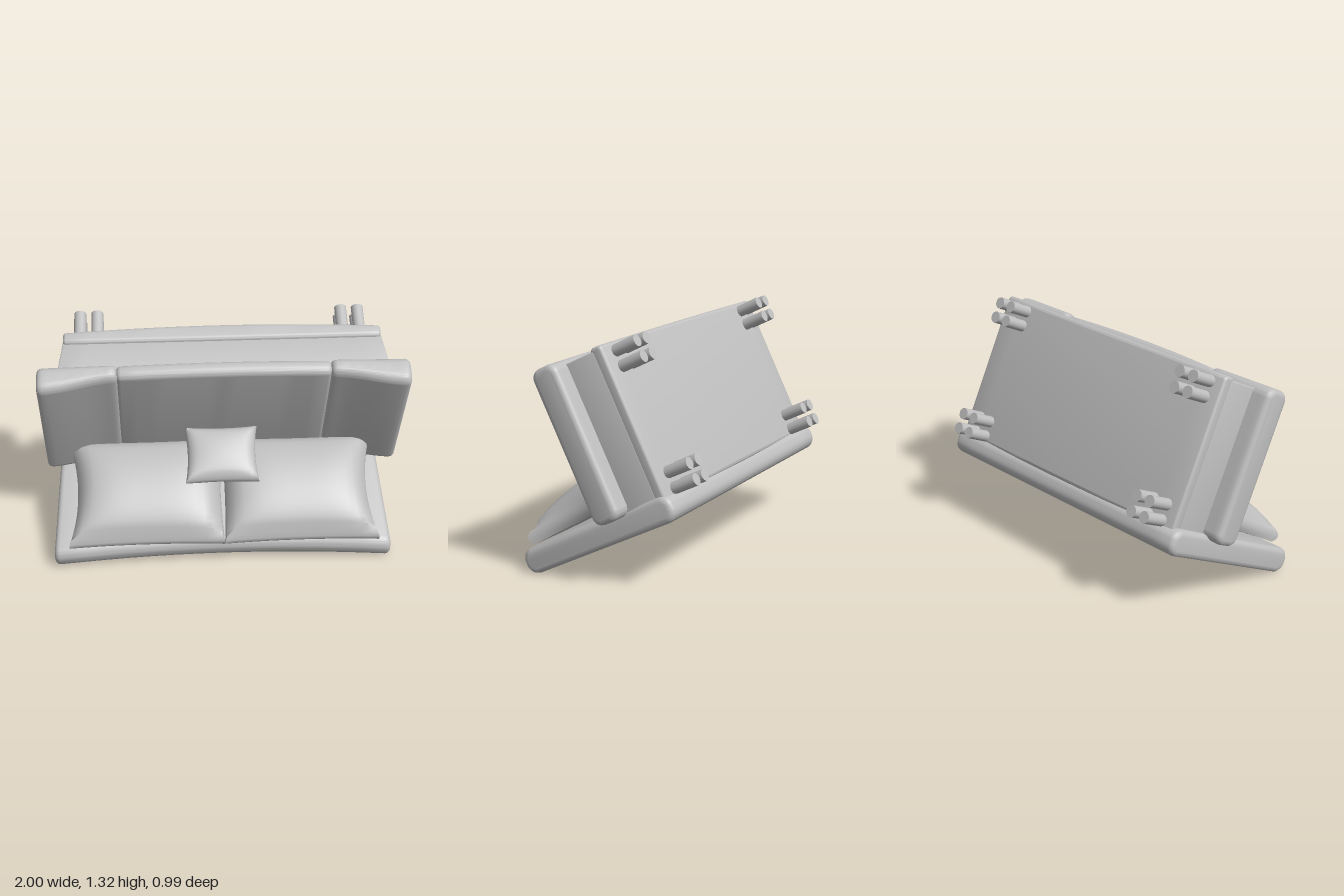
import * as THREE from 'three';
import { mergeVertices, toCreasedNormals } from 'three/addons/utils/BufferGeometryUtils.js';

const fabric = new THREE.MeshStandardMaterial({ color: 0xbfbfbf });
fabric.name = 'grey fabric';

// Local frame: x across, y from the backrest to the seat front, z from the feet to the backrest top.

// Moves every vertex by a rule, then smooths all but the sharp edges.
function shaped(geometry, rule, crease = 0.7) {
  const pos = geometry.attributes.position;
  const v = new THREE.Vector3();
  for (let i = 0; i < pos.count; i++) {
    v.fromBufferAttribute(pos, i);
    rule(v);
    pos.setXYZ(i, v.x, v.y, v.z);
  }
  geometry.deleteAttribute('uv');
  geometry.deleteAttribute('normal');
  return toCreasedNormals(mergeVertices(geometry, 1e-5), crease);
}

function part(name, geometry) {
  const mesh = new THREE.Mesh(geometry, fabric);
  mesh.name = name;
  return mesh;
}

// Rounded bar running along x, bent by a rule.
function slab(name, [x0, x1], [y0, y1], [z0, z1], r, rule = () => {}) {
  const s = new THREE.Shape();
  const l = -z1, h = -z0;
  s.moveTo(l + r, y0);
  s.lineTo(h - r, y0);
  s.absarc(h - r, y0 + r, r, -Math.PI / 2, 0);
  s.lineTo(h, y1 - r);
  s.absarc(h - r, y1 - r, r, 0, Math.PI / 2);
  s.lineTo(l + r, y1);
  s.absarc(l + r, y1 - r, r, Math.PI / 2, Math.PI);
  s.lineTo(l, y0 + r);
  s.absarc(l + r, y0 + r, r, Math.PI, Math.PI * 1.5);
  const bevel = Math.min(r * 0.6, 0.03);
  const g = new THREE.ExtrudeGeometry(s, {
    depth: x1 - x0 - 2 * bevel, steps: 14, curveSegments: 6,
    bevelSize: bevel, bevelThickness: bevel, bevelOffset: -bevel, bevelSegments: 3,
  });
  g.translate(0, 0, x0 + bevel);
  g.rotateY(Math.PI / 2);
  return part(name, shaped(g, rule));
}

// Soft pillow: rule places unit coordinates u (across), w (thickness), v (height).
function pillow(name, rule) {
  return part(name, shaped(new THREE.BoxGeometry(2, 2, 2, 18, 4, 18), rule, 0.9));
}

export function createModel() {
  const root = new THREE.Group();
  root.name = 'sofa';
  const sofa = new THREE.Group();
  sofa.name = 'tiltedSofa';
  sofa.rotation.x = 0.462;
  root.add(sofa);

  // Backrest, wider towards a slightly hollow top edge
  sofa.add(slab('backrest', [-0.96, 0.93], [0.18, 0.325], [-0.575, 0.395], 0.064, (p) => {
    const t = (p.z + 0.575) / 0.97;
    p.x = -0.015 + (p.x + 0.015) * (0.945 + 0.055 * t);
    p.z -= 0.04 * t * (1 - Math.min(1, (p.x / 0.92) ** 2));
  }));

  // Base rail with a gently bowed underside
  sofa.add(slab('baseRail', [-0.86, 0.86], [0.29, 1.15], [-0.578, -0.475], 0.026, (p) => {
    if (p.z < -0.52) p.z += 0.028 * (p.x / 0.86) ** 2;
  }));

  // Frame flaring out towards the seat
  sofa.add(slab('seatFrame', [-0.86, 0.86], [0.3, 1.132], [-0.5, -0.3], 0.01, (p) => {
    p.x *= 1 + 0.035 * (p.z + 0.5) / 0.2;
  }));

  // Middle seat with a bowed front edge
  sofa.add(slab('seat', [-0.577, 0.577], [0.3, 1.15], [-0.335, -0.245], 0.04, (p) => {
    if (p.y > 0.7) p.y += 0.015 * (1 - (p.x / 0.577) ** 2);
  }));

  // Armrests, rising towards the outside
  for (const side of [-1, 1]) {
    const span = side > 0 ? [0.573, 1] : [-1, -0.573];
    sofa.add(slab(side > 0 ? 'leftArmrest' : 'rightArmrest', span, [0.297, 1.162], [-0.335, -0.172], 0.055, (p) => {
      const t = (Math.abs(p.x) - 0.573) / 0.427;
      p.z -= 0.065 * (1 - t * t * (3 - 2 * t)) * (p.z + 0.335) / 0.163;
    }));
  }

  // Two back cushions with pinched outer sides
  for (const side of [-1, 1]) {
    sofa.add(pillow(side > 0 ? 'leftBackCushion' : 'rightBackCushion', (p) => {
      const u = p.x, v = p.z, w = (p.y + 1) / 2;
      const round = 0.025 * (1 - (2 * w - 1) ** 2);
      const puff = Math.sqrt(Math.max(0, (1 - u ** 4) * (1 - v * v)));
      const front = 0.435 - 0.03 * v + 0.117 * puff;
      const back = 0.353 - 0.022 * v - 0.01 * puff;
      const pinch = u * side > 0 ? 0.05 * (1 - v * v) : 0.012 * (1 - v * v);
      p.x = -0.008 + side * 0.432 + u * (0.42 - pinch + round * 0.5);
      p.y = back + (front - back) * w;
      p.z = 0.045 + v * (0.295 - 0.012 * (1 - u * u) + round);
    }));
  }

  // Small pillow leaning on the cushions
  sofa.add(pillow('smallPillow', (p) => {
    const u = p.x, v = p.z, w = p.y;
    const puff = Math.sqrt(Math.max(0, (1 - u * u) * (1 - v * v)));
    const round = 0.015 * (1 - w * w);
    p.x = -0.012 + u * (0.19 - 0.016 * (1 - v * v) + round);
    p.y = 0.572 - 0.025 * v + w * (0.03 + 0.035 * puff);
    p.z = -0.085 + v * (0.147 - 0.01 * (1 - u * u) + round);
  }));

  // Clusters of four feet near each corner
  const foot = new THREE.CylinderGeometry(0.033, 0.033, 0.16, 16).rotateX(Math.PI / 2);
  for (const x of [-0.77, -0.677, 0.66, 0.752]) {
    for (const y of [0.332, 0.42, 1.01, 1.096]) {
      const leg = part('foot', foot);
      leg.position.set(x, y, -0.62);
      sofa.add(leg);
    }
  }
  return root;
}
